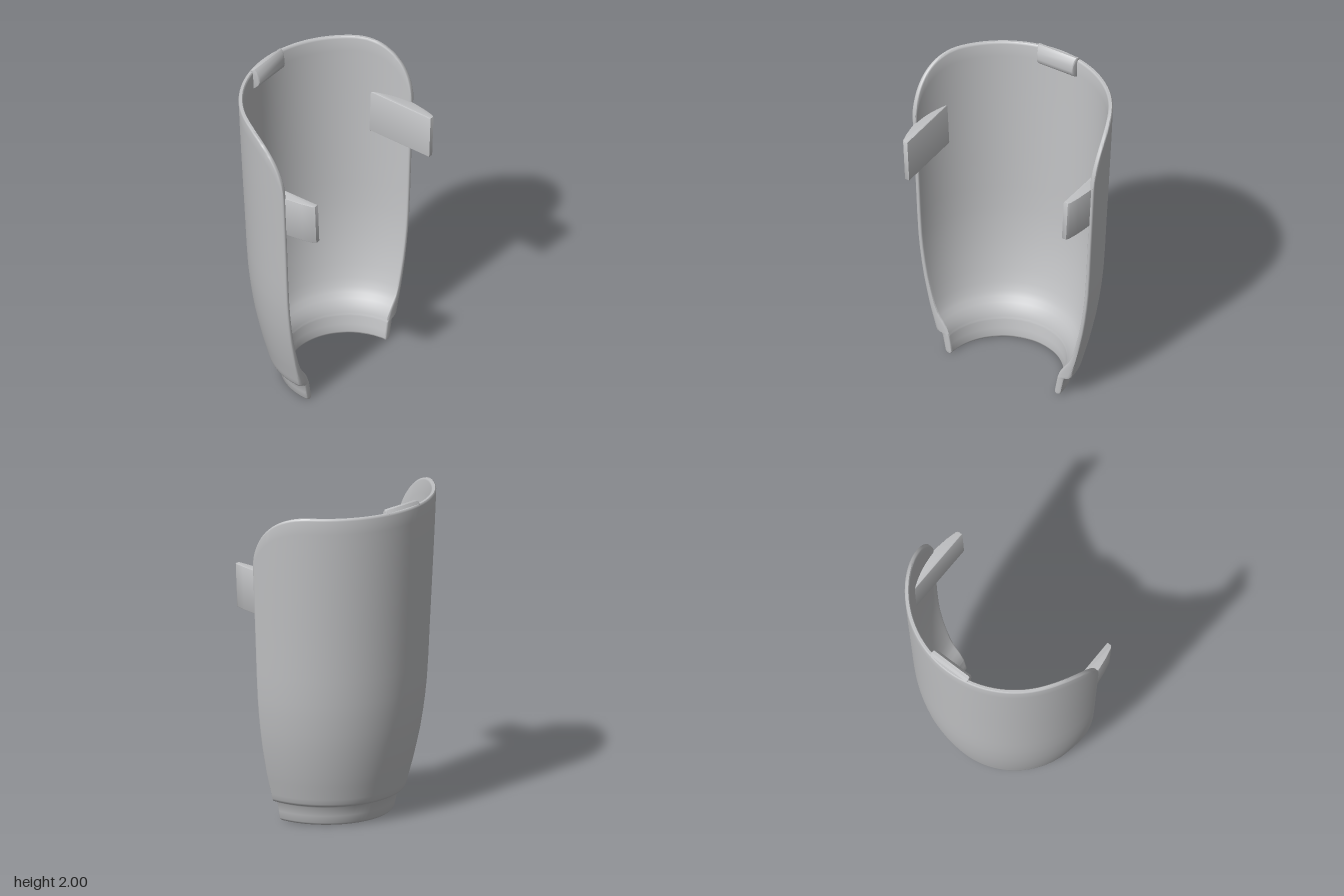
import * as THREE from 'three';
import { toCreasedNormals } from 'three/addons/utils/BufferGeometryUtils.js';

const AXIS_Z = 0.23; // axis of the half-round shell

// height, outer radius, inner radius
const PROFILE = [
  [0, 0.395, 0.368], [0.006, 0.403, 0.362], [0.015, 0.408, 0.361], [0.06, 0.417, 0.37],
  [0.115, 0.428, 0.38], [0.124, 0.434, 0.382], [0.129, 0.445, 0.384], [0.132, 0.462, 0.385],
  [0.138, 0.47, 0.387], [0.15, 0.476, 0.391], [0.18, 0.484, 0.405], [0.21, 0.492, 0.425],
  [0.24, 0.5, 0.448], [0.27, 0.508, 0.465], [0.32, 0.521, 0.485], [0.4, 0.539, 0.508],
  [0.5, 0.56, 0.532], [0.6, 0.576, 0.55], [0.7, 0.589, 0.564], [0.8, 0.599, 0.574],
  [0.95, 0.608, 0.583], [1.15, 0.617, 0.592], [1.35, 0.627, 0.601], [1.6, 0.639, 0.612],
  [1.8, 0.648, 0.62], [2, 0.656, 0.628],
];

function radiiAt(y) {
  let k = 1;
  while (k < PROFILE.length - 1 && PROFILE[k][0] < y) k++;
  const [y0, o0, i0] = PROFILE[k - 1], [y1, o1, i1] = PROFILE[k];
  const t = (y - y0) / (y1 - y0);
  return [o0 + (o1 - o0) * t, i0 + (i1 - i0) * t];
}

// The rim is level at the back and drops in a quarter ellipse to the front edges
function rimHeight(u) {
  const e = Math.max(0, (AXIS_Z - 0.645 * Math.sin(u) + 0.14) / 0.37);
  return 1.6 + 0.38 * Math.sqrt(Math.max(0, 1 - e * e));
}

function shellGeometry() {
  // Columns around the half circle, closer together at the front edges
  const cols = [[0, 0.5], [0.006, 0.85]];
  const N = 72;
  for (let i = 0; i <= N; i++) {
    cols.push([0.02 + (Math.PI - 0.04) * (1 - Math.cos(Math.PI * i / N)) / 2, 1]);
  }
  cols.push([Math.PI - 0.006, 0.85], [Math.PI, 0.5]);

  // Rows: fixed heights below, stretched to the rim above
  const low = PROFILE.filter(p => p[0] < 1.3).map(p => p[0]);
  const base = 1.3, steps = 8;
  const rim = [[0.014, 1], [0.005, 0.85], [0, 0.5]];
  const pos = [], idx = [];
  let M = 0;
  for (const [u, edge] of cols) {
    const top = rimHeight(u);
    const rows = low.map(y => [y, 1]);
    for (let k = 0; k < steps; k++) rows.push([base + (top - 0.014 - base) * k / steps, 1]);
    for (const [d, w] of rim) rows.push([top - d, w]);
    M = rows.length;
    const put = ([y, w], side) => {
      const [ro, ri] = radiiAt(y);
      const r = (ro + ri) / 2 + side * (ro - ri) / 2 * Math.min(w, edge);
      pos.push(r * Math.cos(u), y, AXIS_Z - r * Math.sin(u));
    };
    rows.forEach(p => put(p, 1));
    rows.slice().reverse().forEach(p => put(p, -1));
  }
  const L = 2 * M, last = (cols.length - 1) * L;
  const quad = (a, b, c, d) => idx.push(a, b, c, a, c, d);
  for (let i = 0; i < cols.length - 1; i++) {
    for (let j = 0; j < L; j++) {
      const n = (j + 1) % L;
      quad(i * L + j, (i + 1) * L + j, (i + 1) * L + n, i * L + n);
    }
  }
  // Front edge faces
  for (let j = 0; j < M - 1; j++) {
    const inner = L - 1 - j;
    quad(inner, j, j + 1, inner - 1);
    quad(last + j, last + inner, last + inner - 1, last + j + 1);
  }
  const g = new THREE.BufferGeometry();
  g.setAttribute('position', new THREE.Float32BufferAttribute(pos, 3));
  g.setIndex(idx);
  return toCreasedNormals(g, 0.75);
}

// Flat tongue that projects forward from inside the shell
function clipGeometry(side) {
  const pts = [[0.55, -0.02], [0.575, 0.02], [0.605, 0.1], [0.612, 0.2], [0.606, 0.26],
    [0.594, 0.34], [0.578, 0.405], [0.57, 0.416], [0.55, 0.416]];
  const shape = new THREE.Shape(pts.map(([x, z]) => new THREE.Vector2(side * x, -z)));
  const g = new THREE.ExtrudeGeometry(shape, {
    depth: 0.263, bevelEnabled: true, bevelThickness: 0.006, bevelSize: 0.006, bevelSegments: 2,
  });
  g.rotateX(-Math.PI / 2);
  g.translate(0, 1.331, 0);
  // Lean outward with the wall
  const p = g.attributes.position;
  for (let i = 0; i < p.count; i++) p.setX(i, p.getX(i) + side * 0.05 * (p.getY(i) - 1.46));
  return toCreasedNormals(g, 0.6);
}

// Rounded catch at the back of the rim, narrower toward the front
function catchGeometry() {
  const pts = [[-0.402, 1.975], [-0.388, 1.992], [-0.376, 1.994], [-0.364, 1.982], [-0.352, 1.95],
    [-0.347, 1.915], [-0.352, 1.893], [-0.37, 1.873], [-0.402, 1.85]];
  const shape = new THREE.Shape(pts.map(([z, y]) => new THREE.Vector2(-z, y)));
  const g = new THREE.ExtrudeGeometry(shape, {
    depth: 0.268, bevelEnabled: true, bevelThickness: 0.006, bevelSize: 0.006, bevelSegments: 2,
  });
  g.translate(0, 0, -0.134);
  g.rotateY(Math.PI / 2);
  const p = g.attributes.position;
  for (let i = 0; i < p.count; i++) {
    p.setX(i, p.getX(i) * (1 - 2.4 * Math.max(0, p.getZ(i) + 0.385)));
  }
  return toCreasedNormals(g, 0.7);
}

export function createModel() {
  const grey = new THREE.MeshStandardMaterial({ color: 0xc0c1c3 });
  grey.name = 'light grey plastic';
  const group = new THREE.Group();
  group.name = 'halfShell';
  const add = (geometry, name) => {
    const mesh = new THREE.Mesh(geometry, grey);
    mesh.name = name;
    group.add(mesh);
  };
  add(shellGeometry(), 'shell');
  add(clipGeometry(1), 'leftClip');
  add(clipGeometry(-1), 'rightClip');
  add(catchGeometry(), 'rimCatch');
  return group;
}
